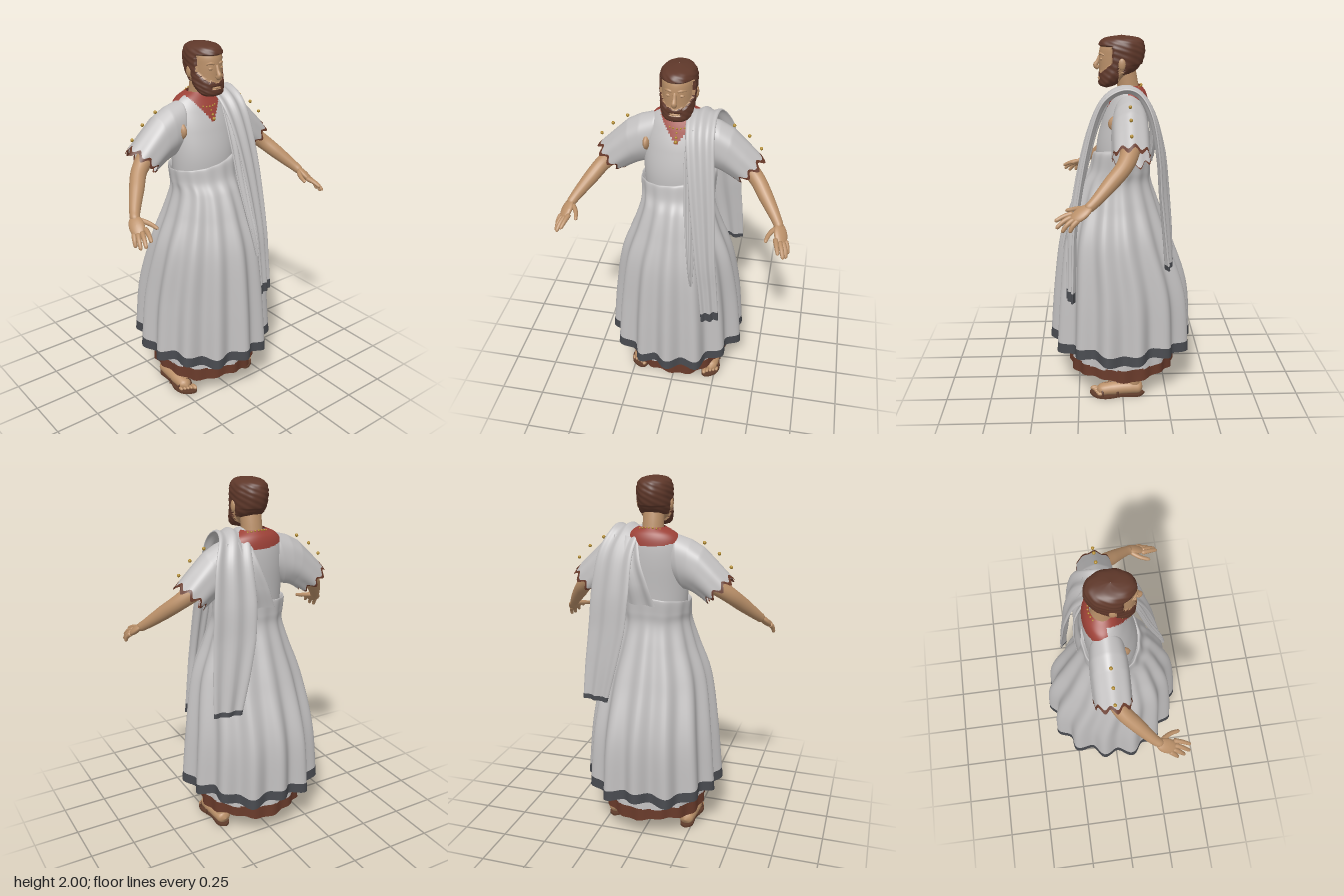
import * as THREE from 'three';

const mat = (name, color, side = THREE.FrontSide) => {
  const m = new THREE.MeshStandardMaterial({ color, side });
  m.name = name;
  return m;
};
const V = (p) => new THREE.Vector3(...p);
const TAU = Math.PI * 2;

// Closed tube-like surface from fn(u, v); pick chooses a material index per quad
function grid(fn, nu, nv, pick = () => 0) {
  const pos = [], sets = [[], []];
  for (let j = 0; j <= nv; j++)
    for (let i = 0; i < nu; i++) pos.push(...fn((i / nu) * TAU, j / nv));
  for (let j = 0; j < nv; j++)
    for (let i = 0; i < nu; i++) {
      const k = (i + 1) % nu, a = j * nu + i, b = j * nu + k, c = b + nu, d = a + nu;
      const mid = [0, 1, 2].map((n) => (pos[a * 3 + n] + pos[b * 3 + n] + pos[c * 3 + n] + pos[d * 3 + n]) / 4);
      sets[pick(mid, (j + 0.5) / nv)].push(a, b, c, a, c, d);
    }
  const g = new THREE.BufferGeometry();
  g.setAttribute('position', new THREE.Float32BufferAttribute(pos, 3));
  g.setIndex([...sets[0], ...sets[1]]);
  g.addGroup(0, sets[0].length, 0);
  if (sets[1].length) g.addGroup(sets[0].length, sets[1].length, 1);
  g.computeVertexNormals();
  return g;
}

// Upright body from rows of [y, half width, half depth, z centre]; warp adjusts each point
function stack(rows, nu, nv, warp = (p) => p, pick) {
  const size = new THREE.CatmullRomCurve3(rows.map((r) => V([r[1], r[0], r[2]])), false, 'catmullrom', 0.5);
  const mid = new THREE.CatmullRomCurve3(rows.map((r) => V([r[3], 0, 0])), false, 'catmullrom', 0.5);
  return grid((a, v) => {
    const s = size.getPoint(v), zc = mid.getPoint(v).x;
    return warp([s.x * Math.sin(a), s.y, zc + s.z * Math.cos(a)], a, v);
  }, nu, nv, pick);
}

const lerpList = (list, t) => {
  const f = t * (list.length - 1), i = Math.min(Math.floor(f), list.length - 2);
  return list[i] + (list[i + 1] - list[i]) * (f - i);
};

// Round limb with rounded ends
function limb(pts, radii, nu = 14, nv = 20) {
  const c = new THREE.CatmullRomCurve3(pts.map(V)), f = c.computeFrenetFrames(nv);
  return grid((u, v) => {
    const j = Math.round(v * nv), e = Math.min(v, 1 - v) / 0.12;
    const r = lerpList(radii, v) * (e < 1 ? Math.sqrt(1 - (1 - e) ** 2) : 1);
    return c.getPoint(v).addScaledVector(f.normals[j], r * Math.cos(u)).addScaledVector(f.binormals[j], r * Math.sin(u)).toArray();
  }, nu, nv);
}

// Flat folded cloth strip; tilt is the z lean of its width
function strip(pts, widths, tilts, thick, pick) {
  const c = new THREE.CatmullRomCurve3(pts.map(V), false, 'catmullrom', 0.5);
  return grid((u, v) => {
    const A = V([1, 0, lerpList(tilts, v)]).normalize();
    const N = A.clone().cross(c.getTangent(v)).normalize(), s = Math.sin(u);
    return c.getPoint(v).addScaledVector(A, s * lerpList(widths, v))
      .addScaledVector(N, thick * Math.cos(u) + 0.008 * Math.cos(s * 7)).toArray();
  }, 40, 90, pick);
}

const ball = (p, r, s = [1, 1, 1]) => new THREE.SphereGeometry(r, 16, 12).scale(...s).translate(...p);

export function createModel() {
  const group = new THREE.Group();
  const D = THREE.DoubleSide;
  const linen = mat('linen', 0xc1bfbf, D), slate = mat('slateHem', 0x484a4f, D);
  const rust = mat('rustHem', 0x683a2a, D), red = mat('redCollar', 0x9c4137, D);
  const skin = mat('skin', 0xba9069), hair = mat('hair', 0x5f382a);
  const gold = mat('gold', 0xb18a2c), leather = mat('leather', 0x5f3c2b);

  const add = (name, geo, m) => {
    const mesh = new THREE.Mesh(geo, m);
    mesh.name = name;
    group.add(mesh);
  };
  // Adds a part on the left and its mirror image on the right
  const pair = (name, geo, m) => {
    add(name + 'Left', geo, m);
    const g = geo.clone().scale(-1, 1, 1), ix = g.index.array;
    for (let i = 0; i < ix.length; i += 3) [ix[i], ix[i + 1]] = [ix[i + 1], ix[i]];
    g.computeVertexNormals();
    add(name + 'Right', g, m);
  };

  // Under tunic skirt
  add('tunicSkirt', stack([[0.12, 0.295, 0.3, 0], [0.3, 0.285, 0.29, 0], [0.7, 0.24, 0.25, 0], [1.2, 0.16, 0.15, 0]], 112, 56,
    ([x, y, z], a, v) => {
      const k = 1 + 0.025 * (1 - v) * Math.cos(16 * a);
      return [x * k, y + 0.01 * (1 - v) * Math.cos(5 * a + 1), z * k];
    }, (p) => (p[1] < 0.187 ? 1 : 0)), [linen, rust]);

  // Wrapped outer skirt with deep folds, sloping top edge and dark hem
  add('outerSkirt', stack([[0.262, 0.372, 0.382, 0], [0.6, 0.345, 0.36, 0], [0.9, 0.3, 0.295, 0.03], [1.1, 0.232, 0.23, 0.033],
    [1.22, 0.197, 0.187, 0.028], [1.29, 0.198, 0.165, 0.008], [1.37, 0.203, 0.155, -0.002], [1.372, 0.185, 0.135, -0.002]], 168, 84,
    ([x, y, z], a, v) => {
      const low = (1 - v) ** 1.3;
      const k = 1 + (0.06 * low + 0.006) * Math.cos(14 * a + 1.2 * v * Math.sin(a)) + 0.02 * low * Math.sin(5 * a + 1);
      return [x * k, y + 0.012 * low * Math.cos(6 * a) + 0.27 * x * v ** 6, z * k];
    }, (p, v) => (v < 0.0235 ? 1 : 0)), [linen, slate]);

  // Tunic top with red collar
  add('tunicTop', stack([[1.2, 0.17, 0.13, 0], [1.4, 0.185, 0.137, 0], [1.55, 0.183, 0.125, -0.02], [1.65, 0.168, 0.104, -0.038],
    [1.705, 0.135, 0.083, -0.046], [1.74, 0.07, 0.058, -0.042]], 96, 90, undefined,
    ([x, y, z]) => (y > (z > -0.03 ? 1.585 + 1.4 * Math.abs(x) : 1.65 + 0.8 * x * x) ? 1 : 0)), [linen, red]);

  // Wide sleeves: rows of [centre x, y, half-height vector x, y, half depth]
  const rows = [[0.08, 1.57, -0.02, 0.09, 0.06], [0.15, 1.56, -0.025, 0.145, 0.088], [0.205, 1.545, 0.005, 0.134, 0.096],
    [0.255, 1.52, 0.025, 0.12, 0.098], [0.315, 1.47, 0.045, 0.092, 0.098], [0.37, 1.42, 0.07, 0.062, 0.097]];
  pair('sleeve', grid((u, v) => {
    const [cx, cy, hx, hy, d] = [0, 1, 2, 3, 4].map((n) => lerpList(rows.map((r) => r[n]), v));
    const w = 1 + 0.03 * v * Math.cos(7 * u), out = 0.012 * v ** 4 * Math.sin(9 * u);
    return [cx + hx * w * Math.cos(u) + out, cy + hy * w * Math.cos(u) - out, -0.037 + d * w * Math.sin(u)];
  }, 72, 50, (p, v) => (v > 0.965 ? 1 : 0)), [linen, rust]);
  pair('shoulderSkin', ball([0.166, 1.56, 0], 0.045, [0.55, 1.15, 1.7]), skin);
  [[0.28, 1.665], [0.36, 1.612], [0.425, 1.545]].forEach(([x, y], i) => pair('sleeveStud' + i, ball([x, y, -0.035], 0.009), gold));

  // Arms and hands
  pair('arm', limb([[0.2, 1.55, -0.035], [0.32, 1.46, -0.035], [0.41, 1.39, 0], [0.475, 1.32, 0.07], [0.545, 1.24, 0.155], [0.568, 1.21, 0.195]],
    [0.055, 0.052, 0.043, 0.039, 0.027, 0.024], 20, 36), skin);
  const palm = new THREE.SphereGeometry(1, 18, 14).scale(0.04, 0.019, 0.066)
    .applyMatrix4(new THREE.Matrix4().makeRotationFromEuler(new THREE.Euler(0.6, 0.25, -0.45, 'YXZ'))).translate(0.573, 1.198, 0.216);
  pair('palm', palm, skin);
  [[[0.548, 1.195, 0.25], [0.56, 1.182, 0.3], [0.573, 1.16, 0.345]],
    [[0.57, 1.185, 0.255], [0.587, 1.165, 0.3], [0.6, 1.132, 0.338]],
    [[0.587, 1.178, 0.245], [0.605, 1.152, 0.283], [0.613, 1.116, 0.31]],
    [[0.6, 1.175, 0.228], [0.614, 1.15, 0.255], [0.62, 1.117, 0.272]],
    [[0.55, 1.22, 0.185], [0.515, 1.207, 0.24], [0.5, 1.193, 0.295]]]
    .forEach((f, i) => pair('finger' + i, limb(f, [0.014, 0.012, 0.009], 10, 14), skin));

  // Long stole over the left shoulder, front end to back end
  add('stole', strip([[0.228, 0.59, 0.285], [0.21, 0.8, 0.278], [0.19, 1.0, 0.268], [0.163, 1.3, 0.218], [0.14, 1.53, 0.16], [0.125, 1.67, 0.095],
    [0.122, 1.73, 0], [0.135, 1.71, -0.085], [0.17, 1.6, -0.155], [0.188, 1.4, -0.2], [0.205, 1.2, -0.218], [0.235, 1.0, -0.235], [0.265, 0.8, -0.247]],
  [0.05, 0.052, 0.055, 0.065, 0.07, 0.075, 0.078, 0.085, 0.1, 0.115, 0.115, 0.1, 0.078],
  [-0.35, -0.35, -0.3, -0.2, -0.1, 0, 0, 0, 0.1, 0.2, 0.25, 0.25, 0.2], 0.012,
  (p, v) => (v < 0.022 || v > 0.988 ? 1 : 0)), [linen, slate]);
  // Narrow inner fold beside the stole, and the cloth rising from the waist behind it
  add('stoleFold', strip([[0.125, 0.86, 0.322], [0.115, 1.0, 0.292], [0.1, 1.25, 0.216], [0.09, 1.5, 0.15], [0.085, 1.68, 0.075]],
    [0.008, 0.02, 0.033, 0.038, 0.03], [-0.2, 0], 0.008), linen);
  add('backDrape', strip([[0.125, 1.69, -0.105], [0.11, 1.57, -0.155], [0.08, 1.45, -0.165], [0.06, 1.34, -0.15]],
    [0.07, 0.085, 0.1, 0.12], [0.1, 0.2], 0.008), linen);

  // Neck and head, with raised hair and beard
  add('neck', limb([[0, 1.62, -0.045], [0, 1.73, -0.035], [0, 1.86, -0.01]], [0.062, 0.056, 0.056], 24, 16), skin);
  const hairy = ([x, y, z]) => {
    const a = Math.atan2(Math.abs(x), z - 0.02);
    const mouth = Math.abs(x) < 0.026 && Math.abs(y - 1.779) < 0.007 && z > 0;
    return y > 1.943 || (a > 1.22 && y > 1.85) || (a > 1.9 && y > 1.8) || (a < 1.6 && !mouth && y < 1.79 + 0.055 * a ** 1.3 + (Math.abs(x) < 0.034 ? 0.012 : 0));
  };
  add('head', stack([[1.727, 0.002, 0.002, 0.08], [1.742, 0.05, 0.04, 0.075], [1.78, 0.072, 0.068, 0.05], [1.83, 0.08, 0.102, 0.016],
    [1.89, 0.083, 0.115, 0.004], [1.94, 0.082, 0.112, 0], [1.975, 0.062, 0.088, -0.002], [1.989, 0.001, 0.001, 0]], 88, 90,
    (p, a, v) => {
      if (!hairy(p)) return p;
      const d = 0.011 + 0.0025 * Math.sin(9 * a + 40 * v) * Math.sin(38 * v);
      const up = Math.min(1, Math.max(0, (p[1] - 1.94) / 0.049)), s = d * (1 - up ** 3);
      return [p[0] + s * Math.sin(a), p[1] + 0.01 * up, p[2] + s * (p[1] < 1.85 ? 0.4 : 1) * Math.cos(a)];
    }, (p) => (hairy(p) ? 1 : 0)), [skin, hair]);
  add('nose', limb([[0, 1.9, 0.112], [0, 1.865, 0.125], [0, 1.842, 0.137], [0, 1.828, 0.118]], [0.008, 0.01, 0.014, 0.013], 12, 16), skin);
  add('lips', ball([0, 1.779, 0.119], 0.02, [1, 0.3, 0.35]), skin);
  pair('ear', ball([0.09, 1.855, 0], 0.026, [0.4, 1.2, 0.75]), skin);
  pair('eyelid', ball([0.032, 1.878, 0.107], 0.014, [1, 0.55, 0.6]), skin);
  pair('brow', limb([[0.012, 1.9, 0.116], [0.034, 1.906, 0.11], [0.055, 1.898, 0.09]], [0.006, 0.007, 0.004], 8, 10), skin);

  // Beaded necklace with pendant
  for (let i = 0; i < 28; i++) {
    const a = (i / 28) * TAU;
    add('necklaceBead', ball([0.088 * Math.sin(a), 1.704 - 0.036 * Math.cos(a), -0.024 + 0.084 * Math.cos(a)], 0.005), gold);
  }
  [[1.65, 0.071], [1.63, 0.085], [1.61, 0.095]].forEach(([y, z], i) => add('pendantBead', ball([0, y, z], 0.005 + 0.002 * i), gold));

  // Legs, feet and sandals
  pair('leg', limb([[0.217, 0.04, -0.065], [0.215, 0.13, -0.06], [0.19, 0.35, -0.05], [0.14, 0.75, -0.02]], [0.036, 0.04, 0.055, 0.075], 18, 24), skin);
  pair('foot', limb([[0.218, 0.045, -0.115], [0.22, 0.052, -0.04], [0.224, 0.048, 0.05], [0.226, 0.032, 0.15]], [0.036, 0.042, 0.042, 0.032], 18, 24)
    .translate(-0.22, -0.014, 0).scale(1.1, 0.95, 1).translate(0.22, 0.014, 0), skin);
  for (let i = 0; i < 5; i++)
    pair('toe' + i, ball([0.19 + i * 0.018, 0.025, 0.16 - 0.008 * i], i ? 0.011 : 0.015, [0.9, 0.9, 1.7]), skin);
  const sole = new THREE.Shape();
  sole.setFromPoints(new THREE.SplineCurve([[0.22, -0.125], [0.257, -0.09], [0.256, 0], [0.278, 0.09], [0.26, 0.155], [0.2, 0.188], [0.17, 0.15], [0.178, 0.03], [0.183, -0.09], [0.22, -0.125]]
    .map((p) => new THREE.Vector2(...p))).getPoints(40));
  const soleGeo = new THREE.ExtrudeGeometry(sole, { depth: 0.012, bevelEnabled: false }).rotateX(Math.PI / 2).translate(0, 0.012, 0);
  soleGeo.setIndex([...Array(soleGeo.attributes.position.count).keys()]);
  pair('sandalSole', soleGeo, leather);
  [[0.115, 0.062], [0.03, 0.083]].forEach(([z, h], i) =>
    pair('sandalStrap' + i, new THREE.TorusGeometry(0.046, 0.005, 6, 20, Math.PI).scale(1, h / 0.05, 1.5).translate(0.223, 0.008, z), leather));
  pair('ankleStrap', new THREE.TorusGeometry(0.042, 0.005, 6, 24).rotateX(Math.PI / 2).scale(1, 1.6, 1).translate(0.216, 0.105, -0.06), leather);
  pair('instepStrap', limb([[0.22, 0.105, -0.018], [0.222, 0.096, 0.015], [0.224, 0.078, 0.07], [0.224, 0.066, 0.115]], [0.006, 0.006], 8, 12), leather);

  return group;
}
